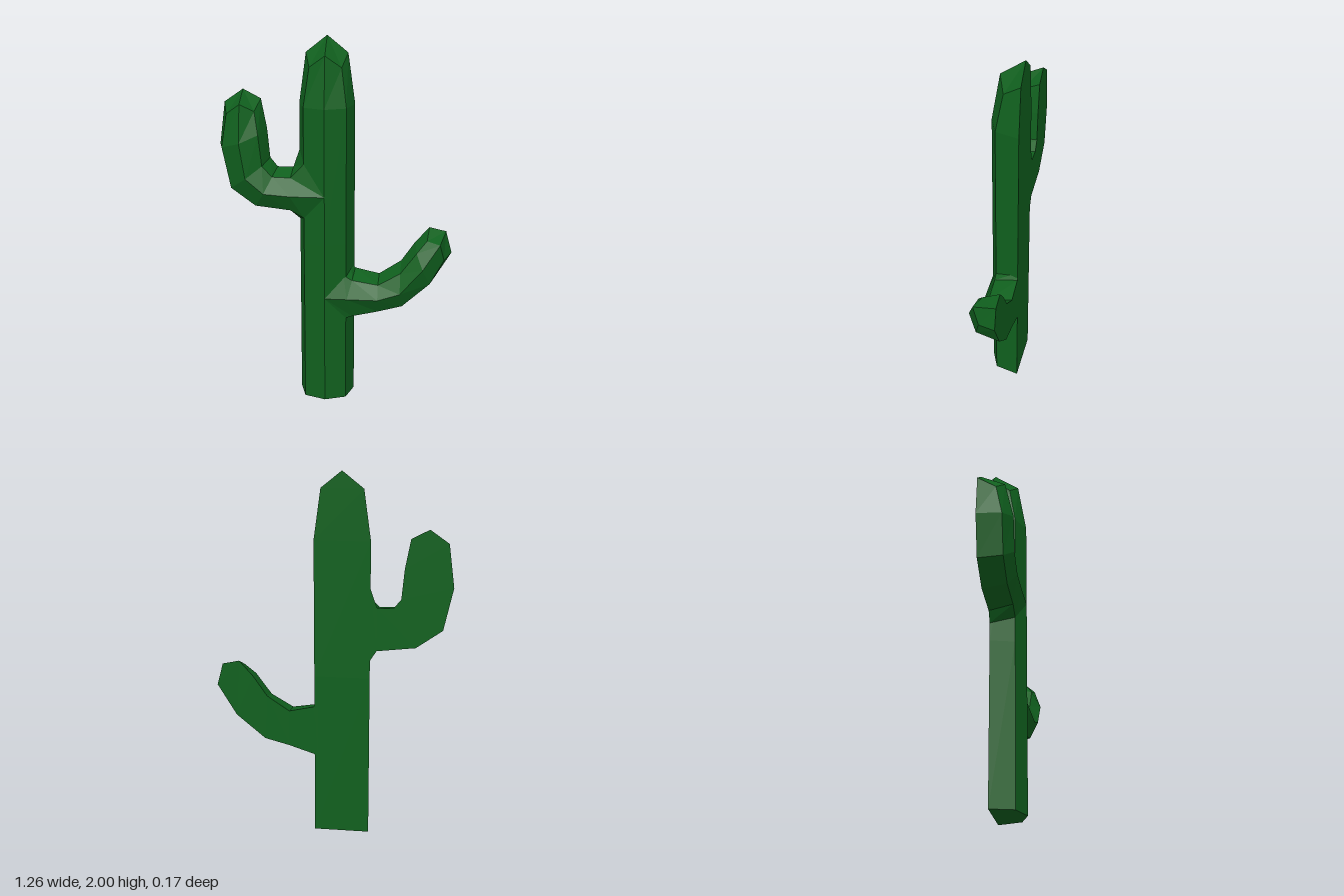
import * as THREE from 'three';

const BACK = -0.087, SHOULDER = 0.042, RIDGE = 0.087;

// Lofts a five-sided, flat-backed limb. Each station holds the left edge,
// the ridge and the right edge as [x, y]; the last station is the tip ring.
function limb(name, stations, apex, tipPull, material) {
  const rings = stations.map(([l, m, r], i) => {
    const tip = i === stations.length - 1;
    const shoulder = (e) => new THREE.Vector3(
      e[0] + (m[0] - e[0]) * 0.24 + (tip ? tipPull[0] : 0),
      e[1] + (m[1] - e[1]) * 0.24 + (tip ? tipPull[1] : 0),
      tip ? 0.007 : SHOULDER);
    return [
      new THREE.Vector3(l[0], l[1], BACK),
      shoulder(l),
      new THREE.Vector3(m[0], m[1], tip ? SHOULDER : RIDGE),
      shoulder(r),
      new THREE.Vector3(r[0], r[1], BACK),
    ];
  });
  const points = [];
  // Sides and back
  for (let i = 0; i < rings.length - 1; i++) {
    for (let j = 0; j < 5; j++) {
      const k = (j + 1) % 5;
      const a = rings[i][j], b = rings[i][k], c = rings[i + 1][k], d = rings[i + 1][j];
      points.push(a, b, c, a, c, d);
    }
  }
  // Pointed tip
  const top = new THREE.Vector3(apex[0], apex[1], BACK);
  const last = rings[rings.length - 1];
  for (let j = 0; j < 5; j++) points.push(last[j], last[(j + 1) % 5], top);
  // Base cap
  for (let j = 1; j < 4; j++) points.push(rings[0][0], rings[0][j + 1], rings[0][j]);

  const geometry = new THREE.BufferGeometry().setFromPoints(points);
  geometry.computeVertexNormals();
  const mesh = new THREE.Mesh(geometry, material);
  mesh.name = name;
  return mesh;
}

export function createModel() {
  const group = new THREE.Group();
  group.name = 'cactus';
  const green = new THREE.MeshStandardMaterial({ color: 0x10601e, flatShading: true });

  // Upright trunk
  group.add(limb('trunk', [
    [[-0.2, 0], [-0.05, 0], [0.097, 0]],
    [[-0.2, 0.9], [-0.05, 0.9], [0.097, 0.9]],
    [[-0.2, 1.64], [-0.05, 1.64], [0.097, 1.64]],
    [[-0.163, 1.91], [-0.05, 1.91], [0.06, 1.91]],
  ], [-0.05, 2], [0, -0.065], green));

  // Upper arm, bending upward, flared where it meets the trunk
  group.add(limb('upperArm', [
    [[-0.2, 1.0], [-0.05, 1.17], [-0.2, 1.39]],
    [[-0.235, 1.055], [-0.235, 1.17], [-0.235, 1.29]],
    [[-0.44, 1.08], [-0.375, 1.18], [-0.32, 1.29]],
    [[-0.58, 1.18], [-0.47, 1.26], [-0.36, 1.34]],
    [[-0.63, 1.41], [-0.5, 1.45], [-0.375, 1.5]],
    [[-0.6, 1.64], [-0.5, 1.65], [-0.405, 1.66]],
  ], [-0.5, 1.71], [0, -0.05], green));

  // Lower arm, slanting outward
  group.add(limb('lowerArm', [
    [[0.08, 0.76], [-0.05, 0.6], [0.08, 0.43]],
    [[0.103, 0.725], [0.07, 0.6], [0.103, 0.452]],
    [[0.235, 0.695], [0.235, 0.6], [0.235, 0.495]],
    [[0.355, 0.775], [0.355, 0.64], [0.37, 0.53]],
    [[0.43, 0.885], [0.475, 0.78], [0.525, 0.66]],
    [[0.505, 0.97], [0.565, 0.91], [0.627, 0.83]],
  ], [0.595, 0.95], [-0.025, -0.035], green));

  return group;
}
